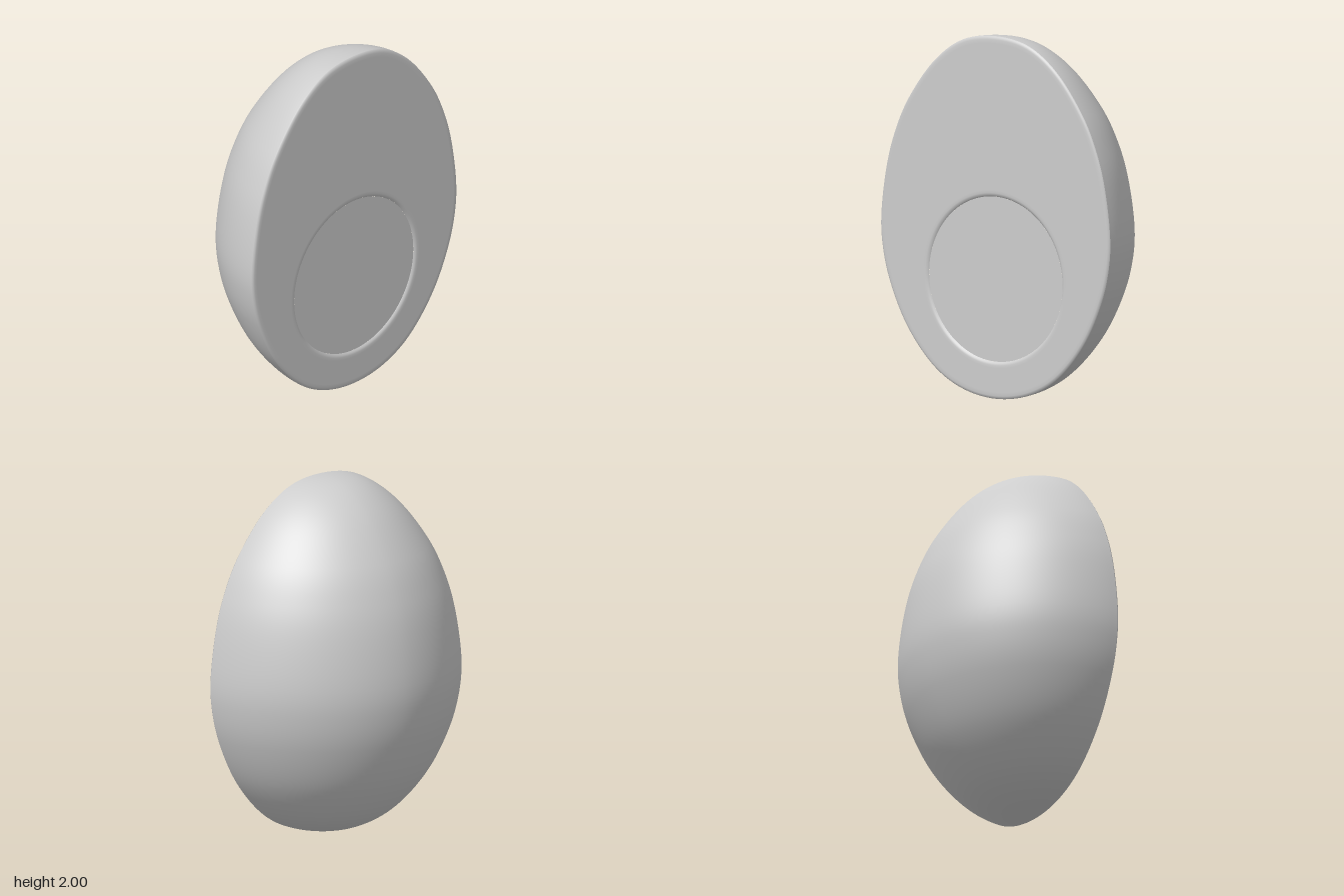
import * as THREE from 'three';

const RIM_Z = 0.372;    // where the rounded shell meets the rim
const FACE_Z = 0.383;   // flat cut face
const FLOOR_Z = 0.372;  // floor of the shallow round recess
const SEGMENTS = 192;
const HOLE = new THREE.Vector2(0, 0.66);
const HOLE_R = 0.455;

// Half of the egg outline from bottom to top: [half width, height]
const HALF = [
  [0, 0], [0.22, 0.035], [0.41, 0.135], [0.6, 0.345], [0.725, 0.6], [0.772, 0.79], [0.78, 0.95],
  [0.742, 1.23], [0.69, 1.41], [0.6, 1.6], [0.41, 1.84], [0.22, 1.965], [0, 2],
];

function eggOutline() {
  const mirrored = HALF.slice(1, -1).reverse().map(([x, y]) => [-x, y]);
  const points = [...HALF, ...mirrored].map(([x, y]) => new THREE.Vector3(x, y, 0));
  return new THREE.CatmullRomCurve3(points, true, 'centripetal').getPoints(SEGMENTS).slice(0, SEGMENTS);
}

// Rounded back: a half lathe with a slightly tapered cross-section
function shellGeometry(outline) {
  const profile = outline.slice(0, SEGMENTS / 2 + 1).map((p) => new THREE.Vector2(Math.max(p.x, 0), p.y));
  const geometry = new THREE.LatheGeometry(profile, 64, Math.PI / 2, Math.PI);
  const pos = geometry.attributes.position;
  const taper = (v) => Math.sign(v) * Math.abs(v) ** (2 / 1.89);
  for (let i = 0; i < pos.count; i++) {
    const x = pos.getX(i), z = Math.min(pos.getZ(i), 0);
    const r = Math.hypot(x, z) || 1;
    pos.setX(i, r * taper(x / r) * (r === 1 && x === 0 ? 0 : 1));
    pos.setZ(i, RIM_Z + r * taper(z / r) * 0.969);
  }
  geometry.computeVertexNormals();
  return geometry;
}

// Cut face: rings from the softened rim inwards to the lip of the recess
function faceGeometry(outline) {
  const eggRing = (inset, z) => outline.map((p) => {
    const s = 1 - inset / 0.78;
    return [p.x * s, 0.95 + (p.y - 0.95) * s, z];
  });
  const holeRing = (r, z) => outline.map((p) => {
    const a = Math.atan2(p.y - HOLE.y, p.x - HOLE.x);
    return [HOLE.x + r * Math.cos(a), HOLE.y + r * Math.sin(a), z];
  });
  const rings = [
    eggRing(0, RIM_Z), eggRing(0.004, 0.379), eggRing(0.014, FACE_Z), eggRing(0.03, FACE_Z),
    holeRing(0.49, FACE_Z), holeRing(0.475, FACE_Z), holeRing(0.463, 0.38), holeRing(HOLE_R, FLOOR_Z),
  ];
  const index = [];
  for (let i = 0; i < rings.length - 1; i++) {
    for (let j = 0; j < SEGMENTS; j++) {
      const k = (j + 1) % SEGMENTS;
      const a = i * SEGMENTS + j, b = i * SEGMENTS + k;
      index.push(a, b, b + SEGMENTS, a, b + SEGMENTS, a + SEGMENTS);
    }
  }
  const geometry = new THREE.BufferGeometry();
  geometry.setAttribute('position', new THREE.Float32BufferAttribute(rings.flat(2), 3));
  geometry.setIndex(index);
  geometry.computeVertexNormals();
  return geometry;
}

export function createModel() {
  const group = new THREE.Group();
  group.name = 'halfEgg';
  const grey = new THREE.MeshStandardMaterial({ color: 0xcccccc });
  grey.name = 'light grey';
  const outline = eggOutline();

  const add = (name, geometry) => {
    const mesh = new THREE.Mesh(geometry, grey);
    mesh.name = name;
    group.add(mesh);
    return mesh;
  };
  add('roundedShell', shellGeometry(outline));
  add('cutFace', faceGeometry(outline));
  add('recessFloor', new THREE.CircleGeometry(HOLE_R, 96)).position.set(HOLE.x, HOLE.y, FLOOR_Z);
  return group;
}
